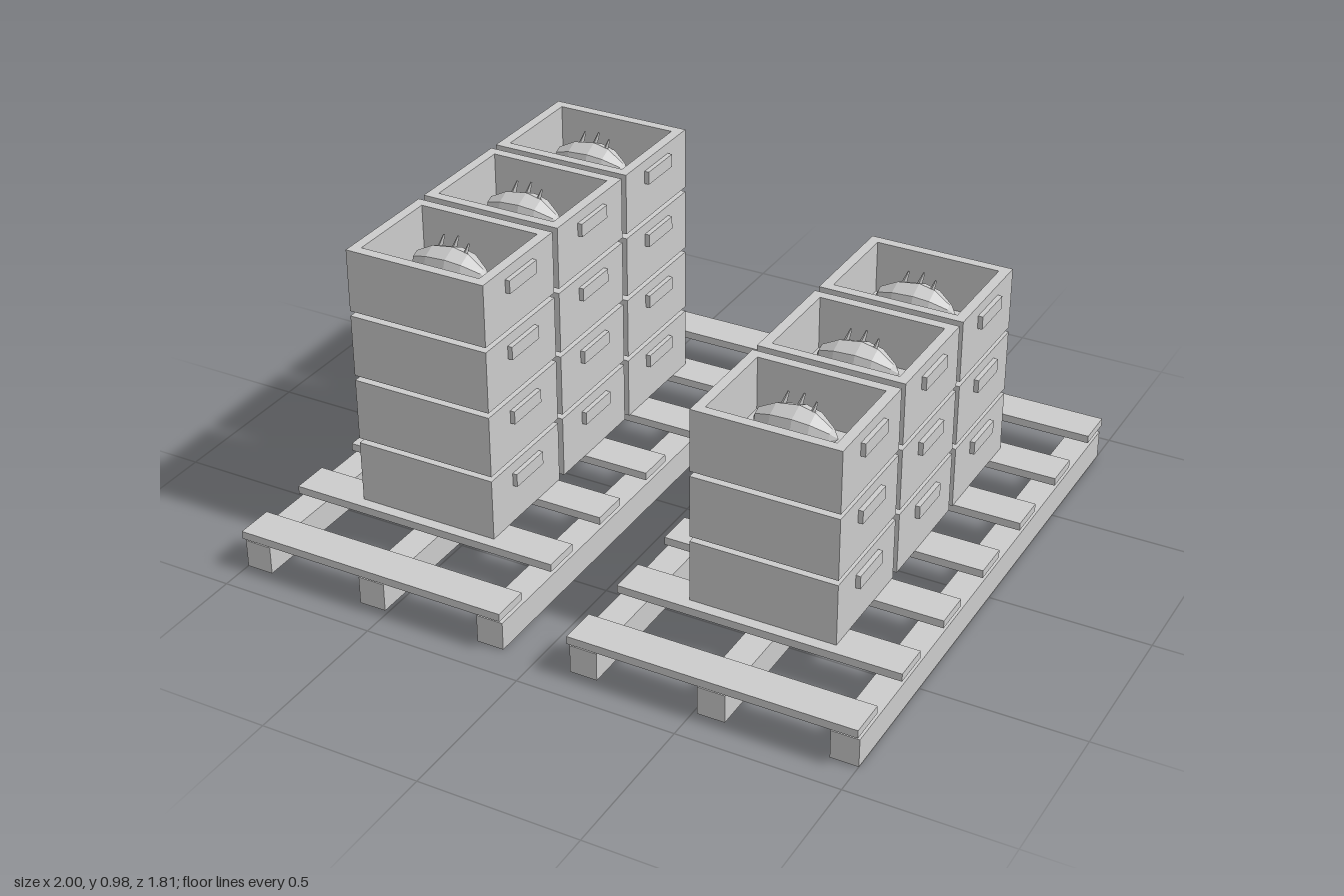
import * as THREE from 'three';

const material = new THREE.MeshStandardMaterial({ color: 0xcccccc, flatShading: true });

function add(parent, name, geometry, x = 0, y = 0, z = 0) {
  const mesh = new THREE.Mesh(geometry, material);
  mesh.name = name;
  mesh.position.set(x, y, z);
  parent.add(mesh);
  return mesh;
}

const W = 0.46, D = 0.375, H = 0.198, WALL = 0.032; // crate size
const STEP_Y = 0.214, STEP_Z = 0.402, DECK = 0.13;

function rectangle(w, d, Type) {
  const r = new Type();
  r.moveTo(-w / 2, -d / 2);
  r.lineTo(w / 2, -d / 2);
  r.lineTo(w / 2, d / 2);
  r.lineTo(-w / 2, d / 2);
  r.closePath();
  return r;
}

// Four walls as one hollow extrusion, standing on y = 0
const wallShape = rectangle(W, D, THREE.Shape);
wallShape.holes.push(rectangle(W - 2 * WALL, D - 2 * WALL, THREE.Path));
const wallGeometry = new THREE.ExtrudeGeometry(wallShape, { depth: H, bevelEnabled: false });
wallGeometry.rotateX(-Math.PI / 2);
const floorGeometry = new THREE.BoxGeometry(W - 2 * WALL, 0.03, D - 2 * WALL);
const handleGeometry = new THREE.BoxGeometry(0.03, 0.042, 0.147);

function createCrate() {
  const crate = new THREE.Group();
  crate.name = 'crate';
  add(crate, 'crateWalls', wallGeometry);
  add(crate, 'crateFloor', floorGeometry, 0, 0.015, 0);
  for (const side of [-1, 1]) add(crate, 'crateHandle', handleGeometry, side * W / 2, 0.143, 0);
  return crate;
}

// Faceted, pointed lump lying along x
const lumpProfile = [[0, -0.13], [0.03, -0.115], [0.056, -0.06], [0.066, 0.01], [0.056, 0.06], [0.024, 0.11], [0, 0.13]];
const lumpGeometry = new THREE.LatheGeometry(lumpProfile.map(([r, y]) => new THREE.Vector2(r, y)), 8);
lumpGeometry.rotateZ(-Math.PI / 2);
lumpGeometry.scale(1, 1.12, 1);
const spikeGeometry = new THREE.CylinderGeometry(0.003, 0.011, 0.06, 4);

function createLump() {
  const lump = new THREE.Group();
  lump.name = 'crateContents';
  add(lump, 'lumpBody', lumpGeometry);
  for (const [x, y, z] of [[-0.045, 0.062, -0.022], [0.005, 0.07, -0.02], [0.05, 0.062, -0.005]]) {
    add(lump, 'lumpSpike', spikeGeometry, x, y, z).rotation.set(-0.25, 0, -0.25);
  }
  return lump;
}

// Three runners with seven deck planks
function createPallet() {
  const pallet = new THREE.Group();
  pallet.name = 'pallet';
  const runner = new THREE.BoxGeometry(0.086, 0.09, 1.785);
  const plank = new THREE.BoxGeometry(0.89, 0.025, 0.122);
  for (let i = -1; i <= 1; i++) add(pallet, 'palletRunner', runner, i * 0.402, 0.045, 0);
  for (let i = -3; i <= 3; i++) add(pallet, 'palletPlank', plank, 0, DECK - 0.0125, i * 0.282);
  return pallet;
}

// A pallet carrying three stacks, with contents in the top crates
function createLoad(name, x, levels) {
  const load = new THREE.Group();
  load.name = name;
  load.position.x = x;
  load.add(createPallet());
  for (let i = -1; i <= 1; i++) {
    const stack = new THREE.Group();
    stack.name = 'crateStack';
    stack.position.set(0, DECK, i * STEP_Z);
    for (let level = 0; level < levels; level++) {
      const crate = createCrate();
      crate.position.y = level * STEP_Y;
      stack.add(crate);
    }
    const lump = createLump();
    lump.position.y = (levels - 1) * STEP_Y + 0.107;
    stack.add(lump);
    load.add(stack);
  }
  return load;
}

export function createModel() {
  const model = new THREE.Group();
  model.name = 'palletsOfCrates';
  model.add(createLoad('tallLoad', -0.555, 4), createLoad('shortLoad', 0.555, 3));
  return model;
}
